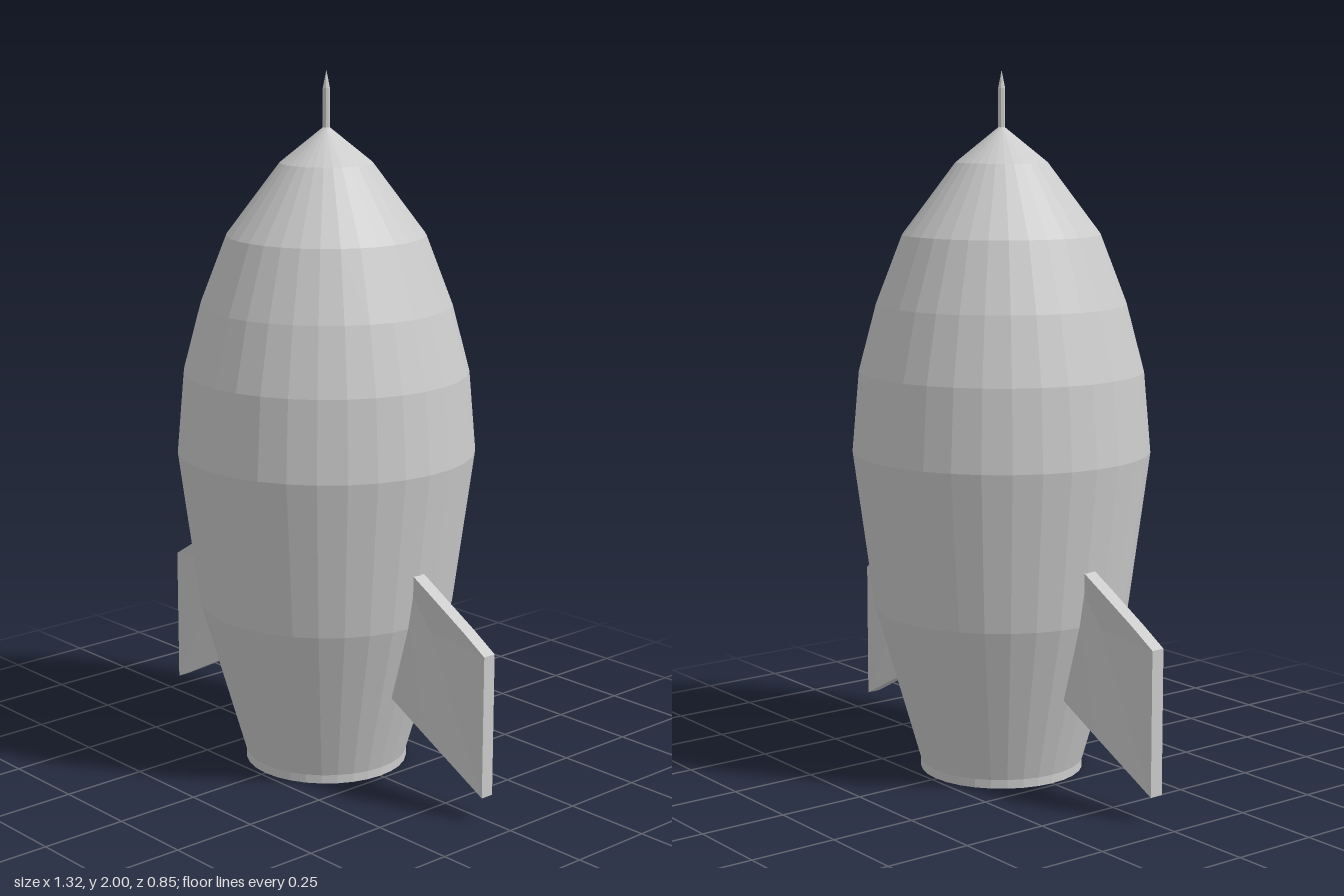
import * as THREE from 'three';

const material = new THREE.MeshStandardMaterial({ color: 0xcccccc, flatShading: true, side: THREE.DoubleSide });

function lathe(name, points, sides) {
  const profile = points.map(([r, y]) => new THREE.Vector2(r, y));
  const mesh = new THREE.Mesh(new THREE.LatheGeometry(profile, sides), material);
  mesh.name = name;
  return mesh;
}

// Flat fin with a pinched hollow near its root; each point is x, y, half thickness
function finGeometry() {
  const points = [
    [0.30, 0.685, 0.02], [0.58, 0.525, 0.02], [0.66, 0.475, 0.02], [0.66, 0.07, 0.02], [0.43, 0.19, 0.02],
    [0.25, 0.285, 0.02], [0.38, 0.43, 0.018], [0.44, 0.49, 0.008], [0.45, 0.60, 0.02],
  ];
  const faces = [
    [0, 5, 6], [0, 6, 7], [0, 7, 8], [8, 7, 1], [7, 2, 1],
    [7, 3, 2], [7, 4, 3], [7, 6, 4], [6, 5, 4],
  ];
  const outline = [0, 5, 4, 3, 2, 1, 8];
  const n = points.length;
  const positions = [1, -1].flatMap((side) => points.flatMap(([x, y, h]) => [x, y, side * h]));
  const index = [];
  for (const [a, b, c] of faces) index.push(a, b, c, a + n, c + n, b + n);
  // Edge strip around the fin
  outline.forEach((a, i) => {
    const b = outline[(i + 1) % outline.length];
    index.push(a, a + n, b, b, a + n, b + n);
  });
  const geometry = new THREE.BufferGeometry();
  geometry.setAttribute('position', new THREE.Float32BufferAttribute(positions, 3));
  geometry.setIndex(index);
  const flat = geometry.toNonIndexed();
  flat.computeVertexNormals();
  return flat;
}

export function createModel() {
  const group = new THREE.Group();
  group.name = 'rocket';

  // Hull with a shallow recessed base
  group.add(lathe('hull', [
    [0, 0.02], [0.228, 0.02], [0.228, 0], [0.235, 0], [0.235, 0.025], [0.365, 0.48], [0.425, 0.93],
    [0.405, 1.16], [0.355, 1.35], [0.28, 1.545], [0.13, 1.745], [0, 1.85],
  ], 32));

  // Nose spike
  group.add(lathe('noseSpike', [[0, 1.83], [0.01, 1.83], [0.01, 1.95], [0, 2]], 8));

  // Two opposite fins, the right one set slightly askew
  const geometry = finGeometry();
  for (const [name, angle] of [['leftFin', 0], ['rightFin', Math.PI + 0.023]]) {
    const fin = new THREE.Mesh(geometry, material);
    fin.name = name;
    fin.rotation.y = angle;
    group.add(fin);
  }
  return group;
}
